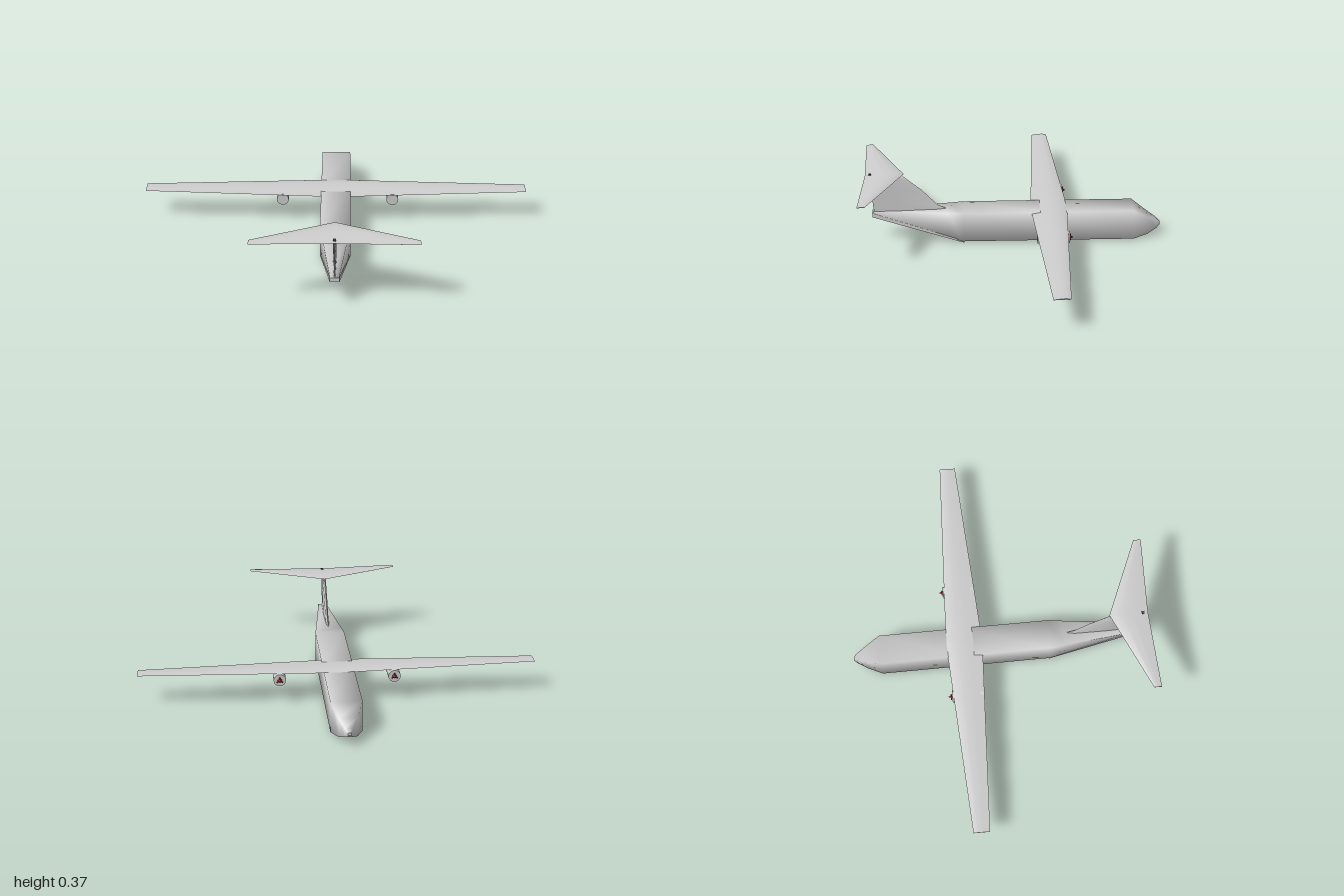
import * as THREE from 'three';
import { toCreasedNormals } from 'three/addons/utils/BufferGeometryUtils.js';

const grey = new THREE.MeshStandardMaterial({ color: 0xcccccc });
grey.name = 'light grey';
const red = new THREE.MeshStandardMaterial({ color: 0xa01010 });
red.name = 'hub red';
const dark = new THREE.MeshStandardMaterial({ color: 0x444444 });
dark.name = 'blade grey';

// Closed surface through rings of points; the ends get their own flat caps.
function loft(rings) {
  const n = rings[0].length, pos = rings.flat(2), faces = [];
  for (let r = 0; r < rings.length - 1; r++) {
    for (let i = 0; i < n; i++) {
      const a = r * n + i, b = r * n + (i + 1) % n;
      faces.push([a, b, b + n], [a, b + n, a + n]);
    }
  }
  for (const [ring, end] of [[rings[0], 0], [rings[rings.length - 1], 1]]) {
    const base = pos.length / 3;
    pos.push(...ring.flat());
    pos.push(...[0, 1, 2].map(k => ring.reduce((s, p) => s + p[k], 0) / n));
    for (let i = 0; i < n; i++) {
      const a = base + i, b = base + (i + 1) % n;
      faces.push(end ? [a, b, base + n] : [b, a, base + n]);
    }
  }
  // Turn all faces outward
  const v = i => new THREE.Vector3(...pos.slice(i * 3, i * 3 + 3));
  const volume = faces.reduce((s, [a, b, c]) => s + v(a).dot(v(b).cross(v(c))), 0);
  if (volume < 0) faces.forEach(f => f.reverse());
  const g = new THREE.BufferGeometry();
  g.setAttribute('position', new THREE.Float32BufferAttribute(pos, 3));
  g.setIndex(faces.flat());
  g.computeVertexNormals();
  return g;
}

// Airfoil ring across x, from leading edge z0 to trailing edge z1
const foil = [[0, 0], [0.08, 0.5], [0.3, 1], [0.6, 0.55], [1, -0.7], [0.98, -0.9], [0.5, -0.6], [0.1, -0.6]];
const foilRing = (x, z0, z1, y, t) => foil.map(([c, h]) => [x, y + h * t, z0 + (z1 - z0) * c]);

export function createModel() {
  const model = new THREE.Group();
  const add = (name, geometry, material = grey, parent = model) => {
    const mesh = new THREE.Mesh(geometry, material);
    mesh.name = name;
    parent.add(mesh);
    return mesh;
  };

  // Square-section body: z, half width, bottom, top
  const body = [
    [-0.768, 0.008, 0.058, 0.072], [-0.75, 0.02, 0.042, 0.087], [-0.7, 0.045, 0.02, 0.117],
    [-0.625, 0.077, 0.01, 0.167], [-0.2, 0.077, 0.01, 0.167], [0.255, 0.077, 0.01, 0.166],
    [0.33, 0.067, 0.03, 0.164], [0.715, 0.022, 0.136, 0.152],
  ];
  add('fuselage', loft(body.map(([z, w, b, t]) => [[-w, b, z], [w, b, z], [w, t, z], [-w, t, z]])));

  // Sloping cargo ramp under the tail
  const ramp = [[0.25, 0.077, 0.002, 0.012], [0.72, 0.023, 0.129, 0.152]].map(
    ([z, w, b, t]) => [[-w, b, z], [w, b, z], [w, t, z], [-w, t, z]]);
  add('cargoRamp', toCreasedNormals(loft(ramp), 0.5));

  // Straight high wing
  add('wing', toCreasedNormals(loft([
    foilRing(-1, -0.232, -0.15, 0.166, 0.004),
    foilRing(0, -0.283, -0.094, 0.166, 0.01),
    foilRing(1, -0.232, -0.15, 0.166, 0.004),
  ]), 0.6));

  // Tail fin: y, leading z, trailing z, half thickness
  const fin = [[0.145, 0.32, 0.71, 0.008], [0.167, 0.345, 0.713, 0.008], [0.185, 0.385, 0.715, 0.008],
    [0.265, 0.46, 0.723, 0.008], [0.315, 0.52, 0.73, 0.008], [0.358, 0.57, 0.735, 0.008]];
  add('tailFin', toCreasedNormals(loft(fin.map(([y, a, b, t]) => {
    const at = f => a + (b - a) * f;
    return [[0, y, a], [t, y, at(0.12)], [t, y, at(0.6)], [0.003, y, b],
      [-0.003, y, b], [-t, y, at(0.6)], [-t, y, at(0.12)]];
  })), 1.2));

  // Swept tailplane on top of the fin
  add('tailplane', toCreasedNormals(loft([
    foilRing(-0.4, 0.727, 0.766, 0.358, 0.003),
    foilRing(0, 0.553, 0.75, 0.359, 0.009),
    foilRing(0.4, 0.727, 0.766, 0.358, 0.003),
  ]), 0.6));
  add('finTip', new THREE.BoxGeometry(0.014, 0.006, 0.014), dark).position.set(0, 0.358, 0.725);

  // Engine pods with hub and small blades at the nose end
  for (const [name, x] of [['rightEngine', -0.278], ['leftEngine', 0.297]]) {
    const engine = new THREE.Group();
    engine.name = name;
    engine.position.set(x, 0.133, -0.195);
    model.add(engine);
    add('pod', new THREE.CylinderGeometry(0.031, 0.031, 0.16, 24).rotateX(Math.PI / 2), grey, engine);
    add('hub', new THREE.ConeGeometry(0.011, 0.02, 12).rotateX(-Math.PI / 2), red, engine).position.z = -0.09;
    for (let i = 0; i < 3; i++) {
      const blade = new THREE.BoxGeometry(0.006, 0.018, 0.004).translate(0, 0.009, 0);
      add('blade', blade.rotateZ(i * Math.PI * 2 / 3), dark, engine).position.z = -0.085;
    }
  }
  return model;
}
